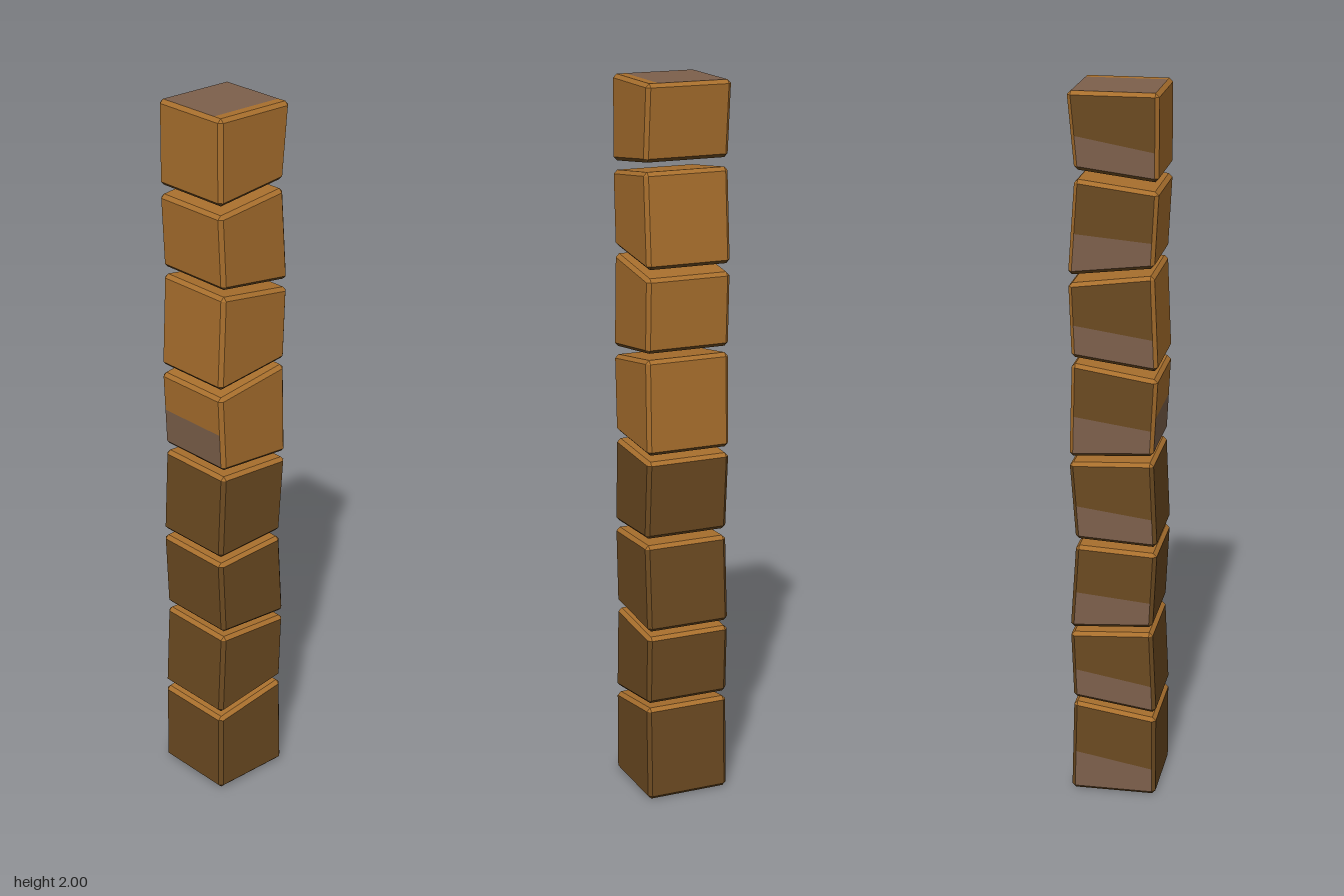
import * as THREE from 'three';

const mat = (name, color) => Object.assign(new THREE.MeshStandardMaterial({ color }), { name });

const HALF = 0.12;   // half width of the column
const BEVEL = 0.01;  // chamfer on every block edge
const GOLD = 0, DARK = 1, GREY = 2;

// Blocks from bottom to top: bottom height front/back, top height front/back,
// front depth bottom/top, back depth bottom/top
const BLOCKS = [
  [0.00, 0.00, 0.24, 0.273, 0.12, 0.12, -0.12, -0.113],
  [0.257, 0.288, 0.50, 0.487, 0.12, 0.11, -0.113, -0.12],
  [0.517, 0.503, 0.738, 0.748, 0.11, 0.12, -0.12, -0.105],
  [0.757, 0.768, 1.00, 0.99, 0.12, 0.11, -0.105, -0.12],
  [1.02, 1.008, 1.237, 1.27, 0.11, 0.12, -0.12, -0.113],
  [1.26, 1.288, 1.52, 1.492, 0.12, 0.11, -0.113, -0.12],
  [1.54, 1.515, 1.745, 1.77, 0.11, 0.12, -0.12, -0.103],
  [1.77, 1.795, 2.00, 2.00, 0.12, 0.12, -0.103, -0.12],
];

// Chamfered block with slanted ends; faces are sorted into one group per colour
function blockGeometry(row, index) {
  const [bf, bb, tf, tb, fb, ft, kb, kt] = row;
  const center = new THREE.Vector3(0, (bf + bb + tf + tb) / 4, 0);
  const lists = [[], [], []];

  // Add a flat polygon, turned so that it faces outwards
  const addFace = (pts, color) => {
    const n = new THREE.Vector3().subVectors(pts[1], pts[0])
      .cross(new THREE.Vector3().subVectors(pts[2], pts[0]));
    const out = pts[0].clone().add(pts[2]).multiplyScalar(0.5).sub(center);
    const p = n.dot(out) < 0 ? [...pts].reverse() : pts;
    for (let i = 1; i < p.length - 1; i++) {
      for (const v of [p[0], p[i], p[i + 1]]) lists[color].push(v.x, v.y, v.z);
    }
  };

  // Corner point lying on the face of the given axis, inset along the other two
  const point = (axis, s) => {
    const y = s[1] > 0 ? (s[2] > 0 ? tf : tb) : (s[2] > 0 ? bf : bb);
    const z = s[2] > 0 ? (s[1] > 0 ? ft : fb) : (s[1] > 0 ? kt : kb);
    const c = [s[0] * HALF, y, z];
    return new THREE.Vector3(...c.map((v, i) => (i === axis ? v : v - s[i] * BEVEL)));
  };
  const signs = (a, sa, b, sb, c, sc) => {
    const s = [0, 0, 0];
    s[a] = sa; s[b] = sb; s[c] = sc;
    return s;
  };

  const body = index < 4 ? DARK : GOLD;
  const isTop = index === BLOCKS.length - 1;

  // Six main faces, some divided in two colours
  for (const [a, b, c] of [[0, 1, 2], [1, 0, 2], [2, 1, 0]]) {
    for (const side of [-1, 1]) {
      const q = [[-1, -1], [1, -1], [1, 1], [-1, 1]]
        .map(([u, v]) => point(a, signs(a, side, b, u, c, v)));
      let split = null, color = body;
      if (a === 0 && side < 0) split = [0.43, 0.32, GREY, DARK];
      if (a === 1) color = side > 0 ? GOLD : GREY;
      if (a === 1 && side > 0 && isTop) split = [0.886, 0.886, GREY, GOLD];
      if (a === 2 && side > 0 && index === 4) split = [0.49, 0.49, GREY, GOLD];
      if (split) {
        const m = q[0].clone().lerp(q[1], split[0]);
        const n = q[3].clone().lerp(q[2], split[1]);
        addFace([q[0], m, n, q[3]], split[2]);
        addFace([m, q[1], q[2], n], split[3]);
      } else addFace(q, color);
    }
  }

  // Twelve chamfers
  for (const [a, b, c] of [[0, 1, 2], [1, 2, 0], [2, 0, 1]]) {
    for (const u of [-1, 1]) for (const v of [-1, 1]) {
      const s0 = signs(a, u, b, v, c, -1), s1 = signs(a, u, b, v, c, 1);
      const color = s0[1] !== s1[1] ? body : (s0[1] > 0 ? GOLD : DARK);
      addFace([point(a, s0), point(a, s1), point(b, s1), point(b, s0)], color);
    }
  }

  // Eight corner triangles
  for (const x of [-1, 1]) for (const y of [-1, 1]) for (const z of [-1, 1]) {
    addFace([0, 1, 2].map((a) => point(a, [x, y, z])), y > 0 ? GOLD : DARK);
  }

  const geometry = new THREE.BufferGeometry();
  geometry.setAttribute('position', new THREE.Float32BufferAttribute(lists.flat(), 3));
  let start = 0;
  lists.forEach((list, i) => {
    geometry.addGroup(start, list.length / 3, i);
    start += list.length / 3;
  });
  geometry.computeVertexNormals();
  return geometry;
}

export function createModel() {
  const materials = [mat('golden brown', 0xa86f2d), mat('dark brown', 0x6c4a21), mat('grey brown', 0x7d604b)];
  const column = new THREE.Group();
  column.name = 'blockColumn';
  BLOCKS.forEach((row, i) => {
    const block = new THREE.Mesh(blockGeometry(row, i), materials);
    block.name = `block${i + 1}`;
    column.add(block);
  });
  return column;
}
